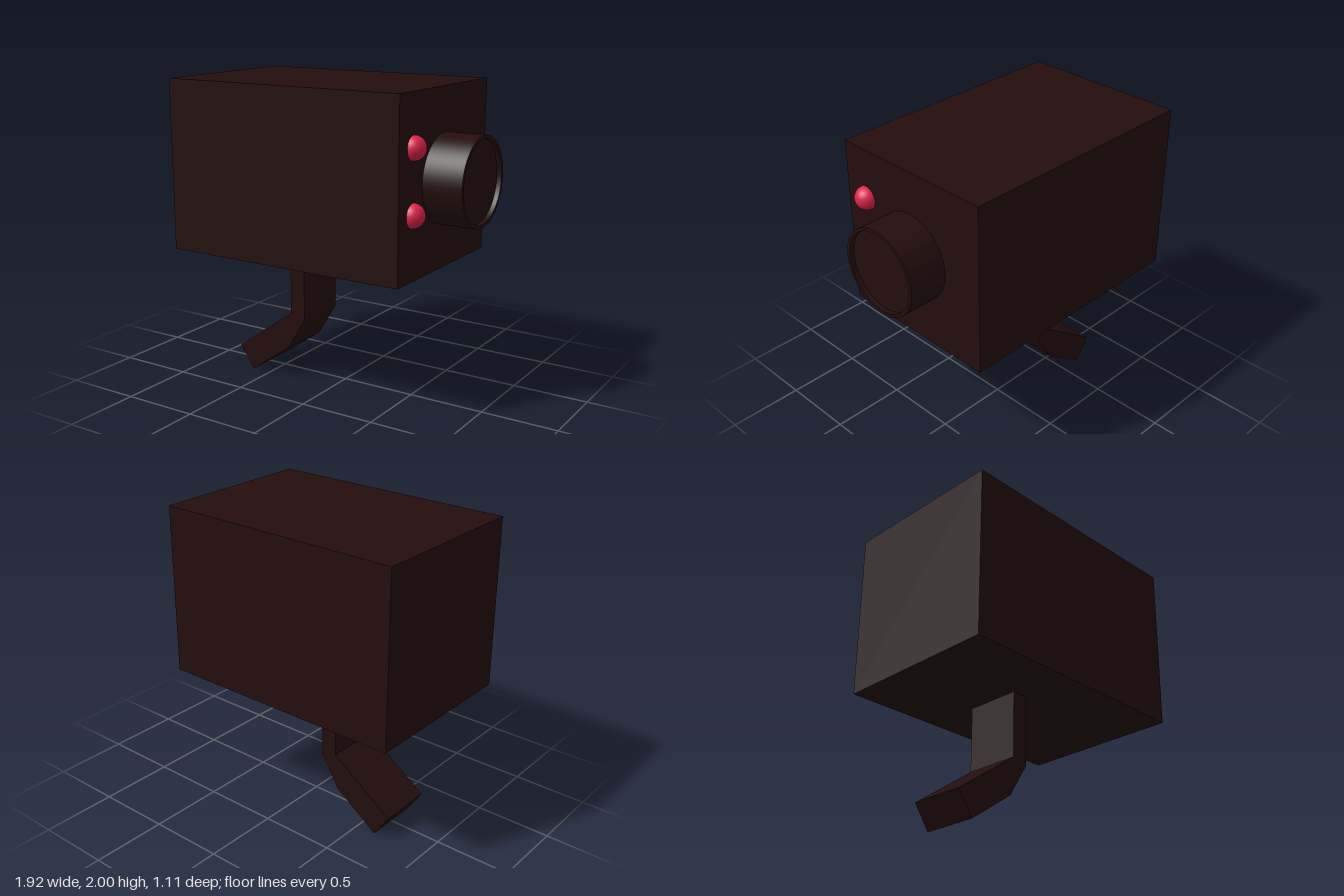
import * as THREE from 'three';

export function createModel() {
  const group = new THREE.Group();
  const darkBrown = new THREE.MeshStandardMaterial({ color: 0x240d0d });
  darkBrown.name = 'dark brown';
  const crimson = new THREE.MeshStandardMaterial({ color: 0xdc2348 });
  crimson.name = 'crimson';

  const add = (name, geometry, material, x = 0, y = 0, z = 0) => {
    const mesh = new THREE.Mesh(geometry, material);
    mesh.name = name;
    mesh.position.set(x, y, z);
    group.add(mesh);
    return mesh;
  };

  // Box housing
  const frontX = 0.705;
  add('housing', new THREE.BoxGeometry(1.67, 1.11, 1.11), darkBrown, -0.13, 1.445, 0);

  // Lens barrel: outer wall, thin rim, inner wall and recessed glass, each with sharp edges
  const barrel = new THREE.Group();
  barrel.name = 'lens';
  barrel.position.set(frontX, 1.445, 0);
  barrel.rotation.z = -Math.PI / 2;
  const sections = [
    ['barrelWall', [[0.28, -0.02], [0.28, 0.255]]],
    ['barrelRim', [[0.28, 0.255], [0.258, 0.255]]],
    ['barrelInside', [[0.258, 0.255], [0.258, 0.225]]],
    ['lensGlass', [[0.258, 0.225], [0, 0.225]]],
  ];
  for (const [name, points] of sections) {
    const profile = points.map(([r, h]) => new THREE.Vector2(r, h));
    const mesh = new THREE.Mesh(new THREE.LatheGeometry(profile, 64), darkBrown);
    mesh.name = name;
    barrel.add(mesh);
  }
  group.add(barrel);

  // Two indicator lights beside the lens
  for (const [name, y] of [['upperLight', 1.68], ['lowerLight', 1.287]]) {
    add(name, new THREE.SphereGeometry(0.075, 32, 20), crimson, frontX, y, 0.388);
  }

  // Bent mounting bracket
  const bracket = new THREE.Shape([
    [-0.31, 0.9], [-0.31, 0.46], [-0.74, 0.155], [-0.635, 0],
    [-0.335, 0.212], [-0.203, 0.43], [-0.203, 0.9],
  ].map(([x, y]) => new THREE.Vector2(x, y)));
  add('bracket', new THREE.ExtrudeGeometry(bracket, { depth: 0.37, bevelEnabled: false }),
    darkBrown, 0, 0, -0.185);

  return group;
}
